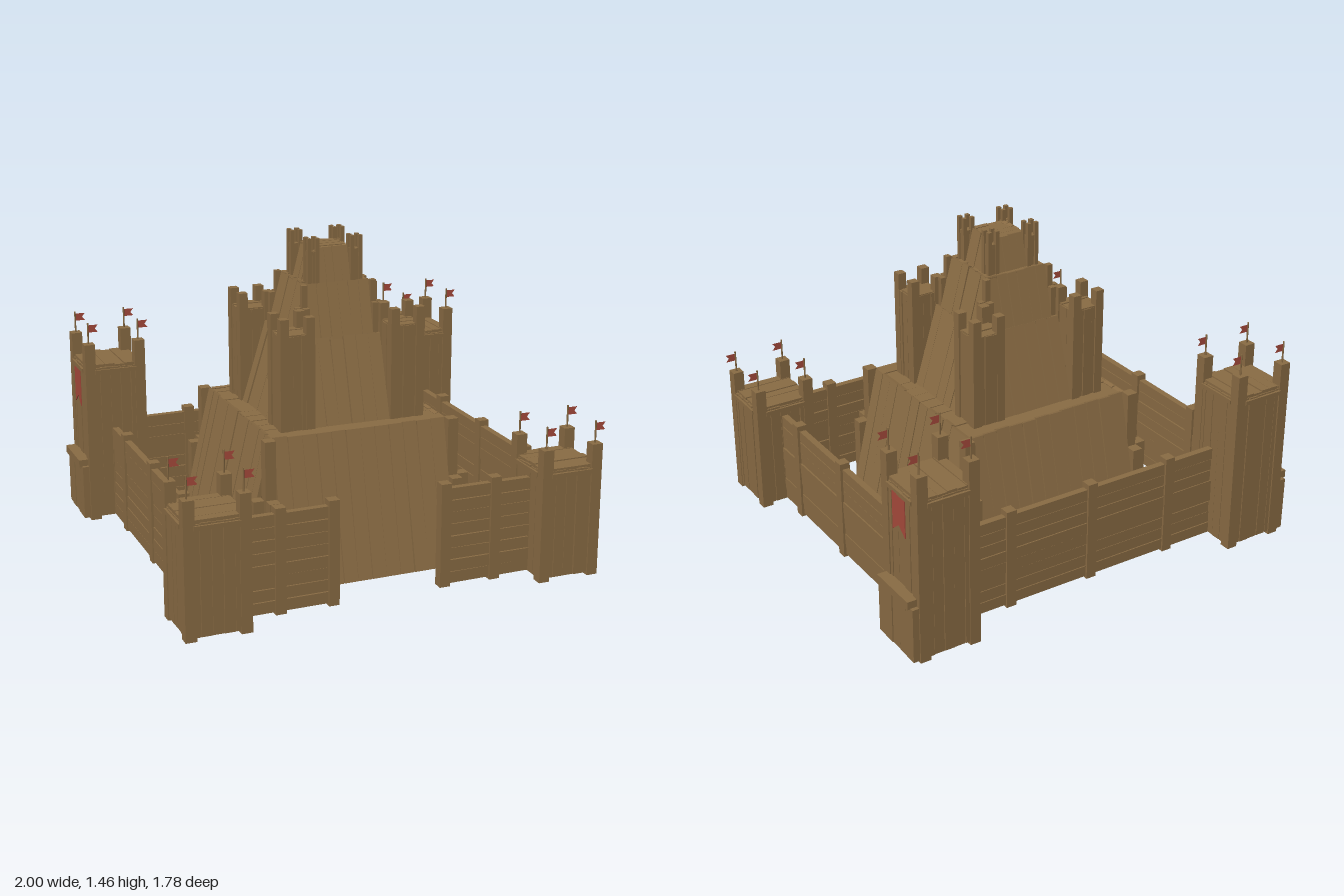
import * as THREE from 'three';
import { mergeGeometries } from 'three/addons/utils/BufferGeometryUtils.js';

const wood = new THREE.MeshStandardMaterial({ color: 0x8a6c44 });
const cloth = new THREE.MeshStandardMaterial({ color: 0xa84a3c, side: THREE.DoubleSide });

let seed = 7;
const rand = () => (seed = (seed * 16807) % 2147483647) / 2147483647;
const jitter = (a) => (rand() - 0.5) * 2 * a;

function box(w, h, d, x, y, z) {
  return new THREE.BoxGeometry(w, h, d).translate(x, y, z);
}

// Box post standing on y0 and reaching y1
function post(x, z, y0, y1, s = 0.05) {
  return box(s, y1 - y0, s, x, (y0 + y1) / 2, z);
}

function part(parent, name, geos, mat = wood) {
  const mesh = new THREE.Mesh(mergeGeometries(geos), mat);
  mesh.name = name;
  parent.add(mesh);
  return mesh;
}

// Row of uneven planks, centred on x, rising from y = 0, facing +z
function planks(width, height, count, thick = 0.018, wobble = 0.006) {
  const pitch = width / count;
  const list = [];
  for (let i = 0; i < count; i++) {
    const h = height - rand() * wobble;
    const b = new THREE.BoxGeometry(pitch * (0.93 + rand() * 0.05), h, thick);
    b.rotateZ(jitter(0.05 * pitch / height));
    b.translate((i + 0.5) * pitch - width / 2, h / 2, jitter(0.003));
    list.push(b);
  }
  return mergeGeometries(list);
}

// Stacked horizontal boards with slight tilts
function boards(length, height, count, thick) {
  return planks(height, length, count, thick, 0.01)
    .translate(0, -length / 2, 0).rotateZ(Math.PI / 2).translate(0, height / 2, 0);
}

// Flat deck of planks; along 'x' or 'z'
function deck(w, d, count, y, along) {
  const g = along === 'z' ? planks(w, d, count).translate(0, -d / 2, 0).rotateX(Math.PI / 2)
    : planks(d, w, count).translate(0, -w / 2, 0).rotateX(Math.PI / 2).rotateY(Math.PI / 2);
  return g.translate(0, y, 0);
}

// Four plank walls around a square, leaning from half-width a to b
function fourWalls(width, count, a, b, y0, y1) {
  const list = [];
  for (let k = 0; k < 4; k++) {
    const g = planks(width, Math.hypot(y1 - y0, a - b), count);
    g.rotateX(-Math.atan2(a - b, y1 - y0)).translate(0, y0, a - 0.009);
    list.push(g.rotateY(k * Math.PI / 2));
  }
  return list;
}

const corners = [[1, 1], [1, -1], [-1, -1], [-1, 1]];

// Pennant on a pole, standing on a post top
function pennant(parent, x, y, z) {
  part(parent, 'flagPole', [new THREE.CylinderGeometry(0.004, 0.004, 0.1, 6).translate(x, y + 0.05, z)]);
  const s = new THREE.Shape();
  s.moveTo(0, 0.055); s.lineTo(0.048, 0.055); s.lineTo(0.034, 0.072);
  s.lineTo(0.048, 0.09); s.lineTo(0, 0.09);
  part(parent, 'flag', [new THREE.ShapeGeometry(s).translate(x, y, z)], cloth);
}

// Corner tower; (cx, cz) is its centre, top the deck height
function tower(name, cx, cz, top, postTop, along) {
  const g = new THREE.Group();
  g.name = name;
  g.position.set(cx, 0, cz);
  const h = 0.14;
  part(g, 'towerWalls', fourWalls(0.25, 5, h, h, 0.02, top));
  part(g, 'towerDeck', [deck(0.27, 0.27, 6, top, along)]);
  part(g, 'towerRails', [-1, 1].flatMap((s) => [
    box(0.2, 0.02, 0.02, 0, top - 0.02, s * h), box(0.02, 0.02, 0.2, s * h, top - 0.02, 0)]));
  part(g, 'towerPosts', corners.map(([x, z]) => post(x * 0.12, z * 0.12, 0.005, postTop)));
  for (const [x, z] of corners) pennant(g, x * 0.12, postTop, z * 0.12);
  return g;
}

// Square tier whose corners are stepped clusters of three posts
function steppedTier(parent, name, half, topHalf, width, count, y0, y1, s) {
  const g = new THREE.Group();
  g.name = name;
  part(g, 'leaningPlanks', fourWalls(width, count, half, topHalf, y0, y1));
  const p = width / 2 + s / 2;
  const low = y0 + (y1 - y0) * 0.6;
  part(g, 'cornerPosts', corners.flatMap(([x, z]) => [
    post(x * p, z * p, y0, y1, s),
    post(x * (p + s * 1.1), z * p, y0, low, s),
    post(x * p, z * (p + s * 1.1), y0, low, s)]));
  part(g, 'tierDeck', [deck(topHalf * 2, topHalf * 2, count, y1 - 0.015, 'x')]);
  parent.add(g);
}

// Square tier flanked by four small plank turrets
function turretTier(parent, name, half, topHalf, width, count, y0, y1, t) {
  const g = new THREE.Group();
  g.name = name;
  part(g, 'leaningPlanks', fourWalls(width, count, half, topHalf, y0, y1));
  part(g, 'tierDeck', [deck(topHalf * 2, topHalf * 2, count, y1 - 0.012, 'x')]);
  for (const [x, z] of corners) {
    const m = new THREE.Group();
    m.name = 'cornerTurret';
    m.position.set(x * t.at, 0, z * t.at);
    part(m, 'turretWalls', fourWalls(t.r * 2 - t.post, 3, t.r - 0.005, t.r - 0.005, y0, t.deck));
    part(m, 'turretDeck', [deck(t.r * 1.8, t.r * 1.8, 3, t.deck - 0.008, 'x')]);
    const o = t.r - t.post / 2;
    part(m, 'turretPosts', corners.map(([a, b]) => post(a * o, b * o, y0, t.top, t.post)));
    g.add(m);
  }
  parent.add(g);
}

// Palisade run along x or z with upright posts at given positions
function palisade(parent, name, from, to, at, postsAt, alongZ) {
  const len = to - from;
  const g = boards(len, 0.44, 8, 0.03).translate((from + to) / 2, 0.02, 0);
  const posts = postsAt.map((p) => post(p, 0, 0.01, 0.485, 0.048));
  const group = new THREE.Group();
  group.name = name;
  part(group, 'wallBoards', [g]);
  part(group, 'wallPosts', posts);
  if (alongZ) {
    group.rotation.y = -Math.PI / 2;
    group.position.x = at;
  } else group.position.z = at;
  parent.add(group);
}

export function createModel() {
  seed = 7;
  const model = new THREE.Group();
  model.name = 'woodenFort';

  // Central stepped keep
  const keep = new THREE.Group();
  keep.name = 'keep';
  keep.position.z = 0.027;
  steppedTier(keep, 'firstTier', 0.57, 0.415, 0.815, 12, 0.015, 0.67, 0.05);
  turretTier(keep, 'secondTier', 0.33, 0.215, 0.36, 6, 0.66, 1.035,
    { at: 0.26, r: 0.08, deck: 1.09, top: 1.165, post: 0.04 });
  steppedTier(keep, 'thirdTier', 0.215, 0.15, 0.3, 6, 1.02, 1.265, 0.026);
  turretTier(keep, 'fourthTier', 0.125, 0.085, 0.15, 4, 1.255, 1.41,
    { at: 0.102, r: 0.028, deck: 1.4, top: 1.46, post: 0.018 });
  model.add(keep);

  // Outer palisade with a front gateway
  palisade(model, 'backWall', -0.67, 0.67, -0.715, [-0.42, 0, 0.42], false);
  for (const s of [-1, 1]) {
    const side = s > 0 ? 'left' : 'right';
    palisade(model, side + 'Wall', -0.6, 0.61, s * 0.817, [-0.4, 0.025, 0.445], true);
    const [a, b] = s > 0 ? [0.24, 0.67] : [-0.67, -0.24];
    palisade(model, side + 'FrontWall', a, b, 0.757, [s * 0.26, s * 0.5], false);

    // Low front tower and tall back tower
    model.add(tower(side + 'FrontTower', s * 0.81, 0.745, 0.515, 0.615, 'x'));
    const back = tower(side + 'BackTower', s * 0.81, -0.735, 0.76, 0.875, 'z');

    // Outer apron of planks under a shelf
    part(back, 'apron', [planks(0.29, 0.26, 5, 0.03)
      .rotateY(Math.PI / 2).translate(s * 0.161, 0.02, 0)]);
    part(back, 'shelf', [box(0.06, 0.036, 0.25, s * 0.16, 0.29, 0)]);

    // Swallow-tailed banner on the outer face
    const shape = new THREE.Shape();
    shape.moveTo(-0.05, 0.735); shape.lineTo(-0.05, 0.555); shape.lineTo(0, 0.595);
    shape.lineTo(0.05, 0.555); shape.lineTo(0.05, 0.735);
    part(back, 'banner', [new THREE.ExtrudeGeometry(shape, { depth: 0.004, bevelEnabled: false })
      .rotateY(s * Math.PI / 2).translate(s * 0.146, 0, 0)], cloth);
    model.add(back);
  }
  return model;
}
